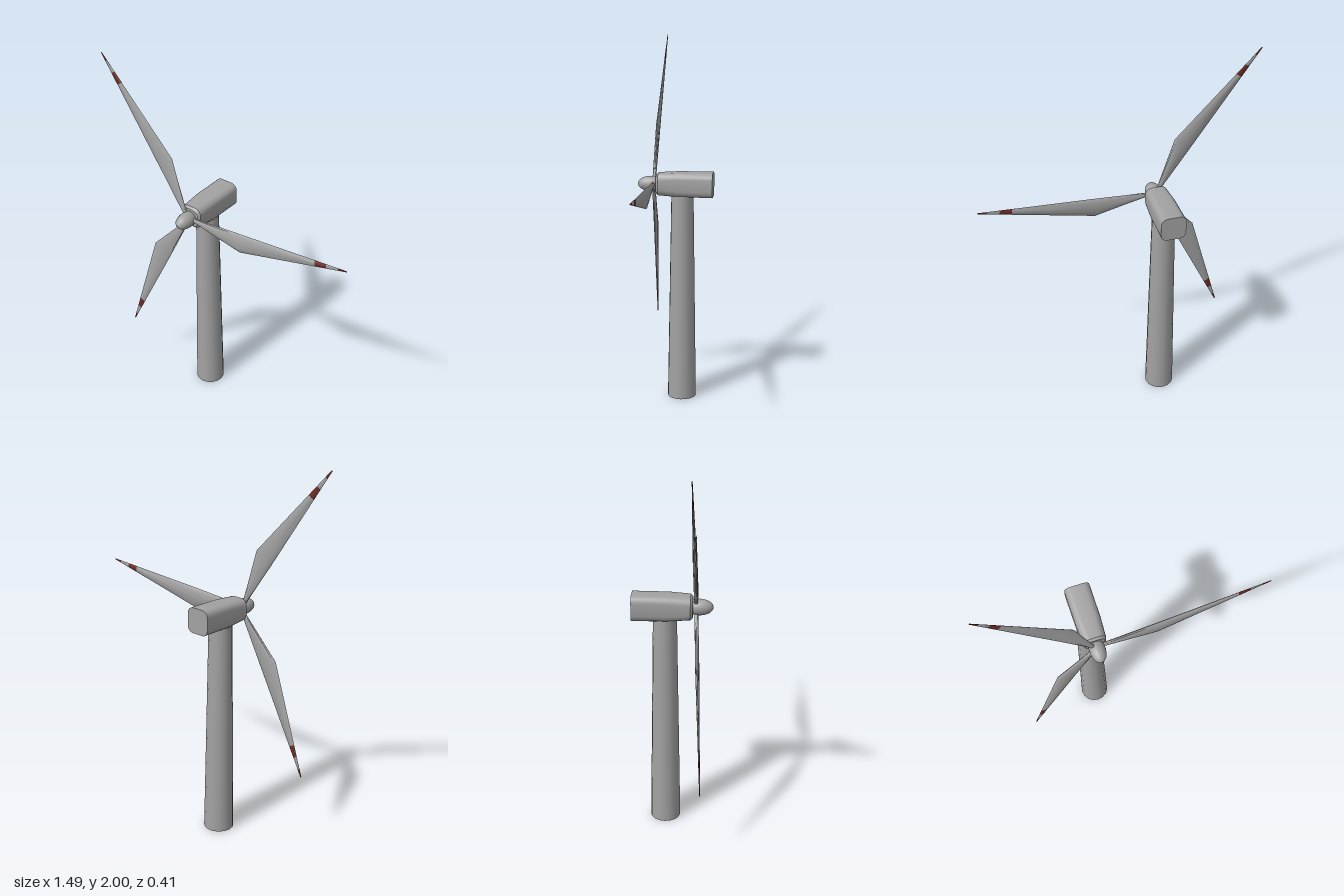
import * as THREE from 'three';
import { toCreasedNormals } from 'three/addons/utils/BufferGeometryUtils.js';

const grey = new THREE.MeshStandardMaterial({ color: 0xa2a2a2 });
grey.name = 'grey paint';
const shell = new THREE.MeshStandardMaterial({ color: 0xa2a2a2, side: THREE.DoubleSide });
shell.name = 'grey tower shell';
const red = new THREE.MeshStandardMaterial({ color: 0x6c2c28 });
red.name = 'dark red paint';

const HUB_X = -0.2;
const HUB_Y = 1.222;

function addMesh(parent, name, geometry, material) {
  const mesh = new THREE.Mesh(geometry, material);
  mesh.name = name;
  parent.add(mesh);
  return mesh;
}

// Skin closed rings (counterclockwise seen from the far end) and cap both ends
function loft(rings, crease) {
  const n = rings[0].length;
  const index = [];
  for (let i = 0; i < rings.length - 1; i++) {
    for (let j = 0; j < n; j++) {
      const k = (j + 1) % n;
      const a = i * n + j, b = i * n + k, c = b + n, d = a + n;
      index.push(a, b, c, a, c, d);
    }
  }
  const last = (rings.length - 1) * n;
  for (let j = 1; j < n - 1; j++) {
    index.push(0, j + 1, j, last, last + j, last + j + 1);
  }
  const geometry = new THREE.BufferGeometry();
  geometry.setAttribute('position', new THREE.Float32BufferAttribute(rings.flat(2), 3));
  geometry.setIndex(index);
  return toCreasedNormals(geometry, crease);
}

// Rounded square ring at depth z
function roundedRing(z, half, radius) {
  const ring = [];
  for (let corner = 0; corner < 4; corner++) {
    const mid = Math.PI / 4 + corner * Math.PI / 2;
    const cx = Math.sign(Math.cos(mid)) * (half - radius);
    const cy = Math.sign(Math.sin(mid)) * (half - radius);
    for (let s = 0; s <= 4; s++) {
      const t = (corner + s / 4) * Math.PI / 2;
      ring.push([cx + radius * Math.cos(t), cy + radius * Math.sin(t), z]);
    }
  }
  return ring;
}

// Blade stations: distance from hub, trailing edge, leading edge, thickness
const STATIONS = [
  [0, -0.012, 0.01, 0.02],
  [0.05, -0.014, 0.011, 0.02],
  [0.322, -0.101, 0.011, 0.021],
  [0.947, -0.003, 0.003, 0.004],
];

// Elliptical blade section, blended between stations
function bladeRing(u) {
  let i = 0;
  while (i < STATIONS.length - 2 && u > STATIONS[i + 1][0]) i++;
  const [p, q] = [STATIONS[i], STATIONS[i + 1]];
  const f = (u - p[0]) / (q[0] - p[0]);
  const [, low, high, thick] = p.map((v, k) => THREE.MathUtils.lerp(v, q[k], f));
  const ring = [];
  for (let j = 0; j < 12; j++) {
    const t = j * Math.PI / 6;
    ring.push([u, (low + high) / 2 + (high - low) / 2 * Math.cos(t), thick / 2 * Math.sin(t)]);
  }
  return ring;
}

export function createModel() {
  const model = new THREE.Group();
  model.name = 'windTurbine';

  // Tapered tower, open underneath
  const tower = addMesh(model, 'tower',
    new THREE.CylinderGeometry(0.061, 0.08, 1.165, 16, 1, true), shell);
  tower.position.set(HUB_X, 1.165 / 2, -0.04);

  // Nacelle, narrowing slightly to a bevelled front
  const nacelle = addMesh(model, 'nacelle', loft([
    roundedRing(-0.208, 0.067, 0.034),
    roundedRing(-0.02, 0.066, 0.034),
    roundedRing(0.09, 0.06, 0.036),
    roundedRing(0.102, 0.05, 0.036),
  ], 0.6), grey);
  nacelle.position.set(HUB_X, HUB_Y, 0);

  // Rounded nose cone
  const profile = [[0.034, 0.095], [0.041, 0.115], [0.042, 0.14], [0.038, 0.165],
    [0.029, 0.187], [0.015, 0.201], [0, 0.206]].map(([r, z]) => new THREE.Vector2(r, z));
  const spinner = addMesh(model, 'spinner', new THREE.LatheGeometry(profile, 20), grey);
  spinner.rotation.x = Math.PI / 2;
  spinner.position.set(HUB_X, HUB_Y, 0);

  // Slightly tilted rotor with three striped blades
  const rotor = new THREE.Group();
  rotor.name = 'rotor';
  rotor.position.set(HUB_X, HUB_Y, 0.118);
  rotor.rotation.set(-0.029, 0.03, 0);
  model.add(rotor);

  const sections = [
    ['bladeBody', [0, 0.05, 0.322, 0.77], grey],
    ['bladeStripe', [0.77, 0.835], red],
    ['bladeOuter', [0.835, 0.9], grey],
    ['bladeTip', [0.9, 0.947], red],
  ].map(([name, us, material]) => [name, loft(us.map(bladeRing), 0.7), material]);

  for (let i = 0; i < 3; i++) {
    const blade = new THREE.Group();
    blade.name = 'blade' + (i + 1);
    blade.rotation.z = THREE.MathUtils.degToRad(4.8 + i * 120);
    for (const [name, geometry, material] of sections) addMesh(blade, name, geometry, material);
    rotor.add(blade);
  }

  return model;
}
